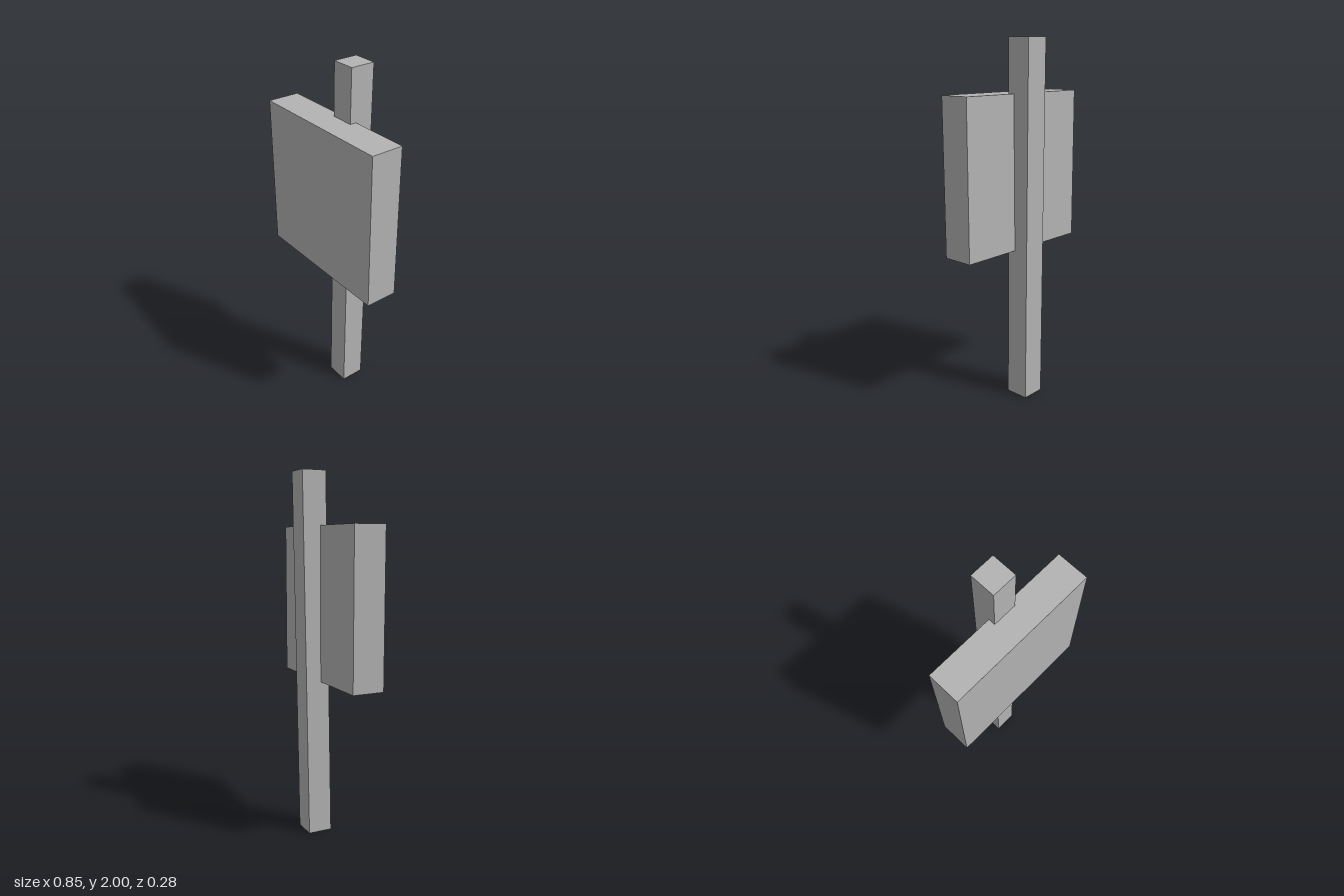
import * as THREE from 'three';

export function createModel() {
  const group = new THREE.Group();
  const grey = new THREE.MeshStandardMaterial({ color: 0xb3b3b3 });
  grey.name = 'grey';

  const addPart = (name, geometry, x, y, z) => {
    const mesh = new THREE.Mesh(geometry, grey);
    mesh.name = name;
    mesh.position.set(x, y, z);
    group.add(mesh);
  };

  // Square post, leaning slightly back and to its left, with level ends
  const postGeometry = new THREE.BoxGeometry(0.134, 2, 0.135);
  const lean = new THREE.Matrix4().makeShear(0, 0, 0.0065, -0.0138, 0, 0);
  postGeometry.applyMatrix4(lean);
  postGeometry.computeVertexNormals();
  addPart('post', postGeometry, 0.015, 1, -0.0585);

  // Thick square board on the front of the post
  addPart('signBoard', new THREE.BoxGeometry(0.848, 0.848, 0.178), 0, 1.292, 0.051);

  return group;
}
